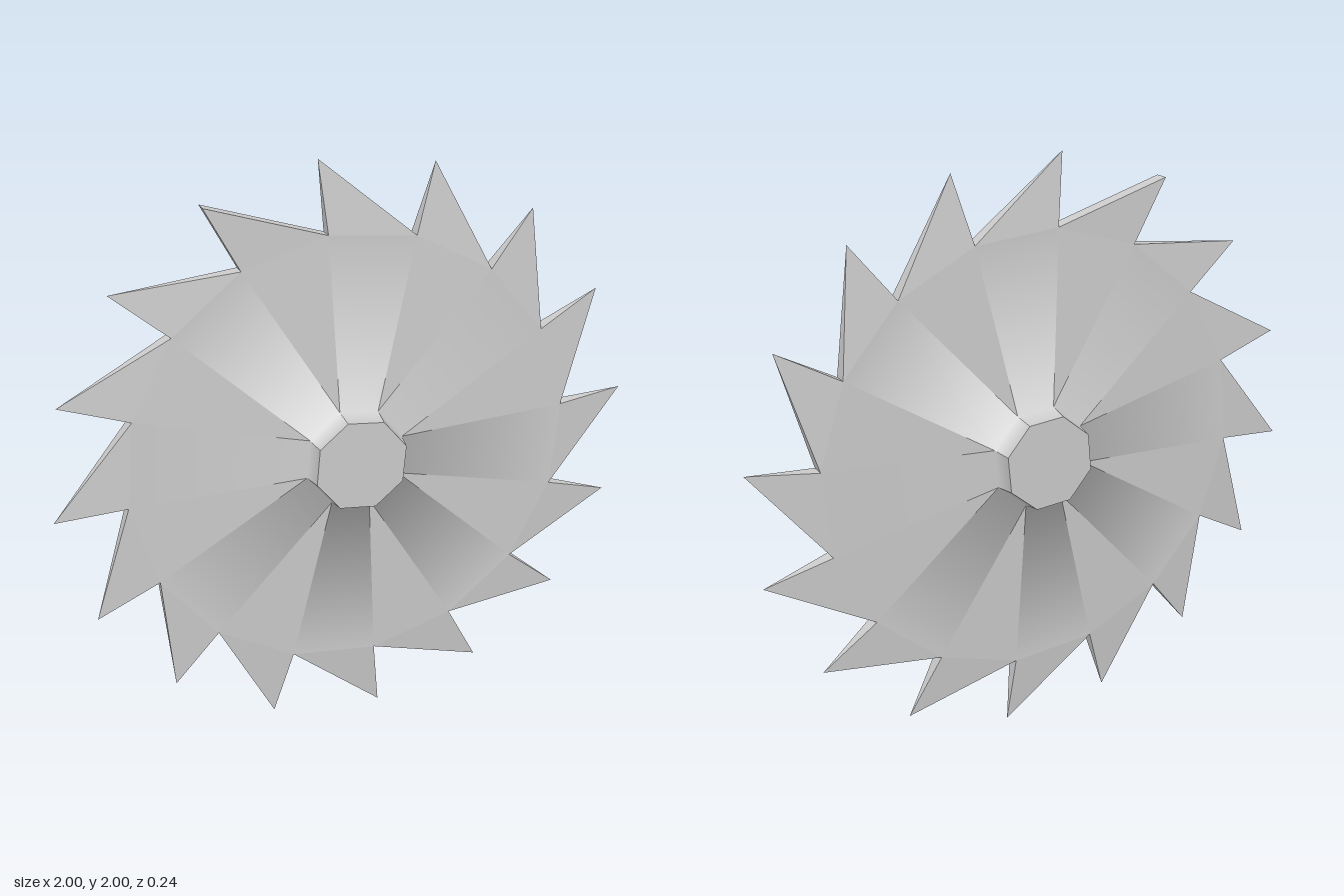
import * as THREE from 'three';

const TEETH = 16, STEP = 22.5, START = 6;
const R_TIP = 1.0055, R_VALLEY = 0.766, R_BASE = 0.175, R_CAP = 0.163;
const Z_VALLEY = 0.025, Z_BASE = 0.047, Z_CAP = 0.12;

const rad = THREE.MathUtils.degToRad;
const P = (r, deg, z) => new THREE.Vector3(r * Math.cos(rad(deg)), r * Math.sin(rad(deg)), z);

// Collects triangles; each gets its flat normal unless normals are supplied
class Faces {
  constructor() { this.pos = []; this.nor = []; }
  tri(pts, normals) {
    const [a, b, c] = pts;
    const flat = b.clone().sub(a).cross(c.clone().sub(a));
    if (flat.length() < 1e-9) return;
    flat.normalize();
    pts.forEach((p, i) => {
      this.pos.push(p.x, p.y, p.z);
      this.nor.push(...(normals ? normals[i] : flat).toArray());
    });
  }
  // One polygon as a fan; flip reverses the winding for the back side
  poly(pts, normals, flip = false) {
    for (let i = 1; i < pts.length - 1; i++) {
      const ids = flip ? [0, i + 1, i] : [0, i, i + 1];
      this.tri(ids.map(j => pts[j]), normals && ids.map(j => normals[j]));
    }
  }
  mesh(name) {
    const g = new THREE.BufferGeometry();
    g.setAttribute('position', new THREE.Float32BufferAttribute(this.pos, 3));
    g.setAttribute('normal', new THREE.Float32BufferAttribute(this.nor, 3));
    const m = new THREE.Mesh(g, new THREE.MeshStandardMaterial({ color: 0xcccccc }));
    m.name = name;
    return m;
  }
}

export function createModel() {
  const hub = new Faces(), disc = new Faces(), teeth = new Faces();

  for (const s of [1, -1]) {
    const flip = s < 0;
    const face = new THREE.Vector3(0, 0, s);

    // Octagonal hub caps
    const cap = [];
    for (let i = 0; i < 8; i++) cap.push(P(R_CAP, 17.25 + 45 * i, s * Z_CAP));
    hub.poly(cap, null, flip);

    for (let i = 0; i < 8; i++) {
      const h0 = 17.25 + 45 * i, h1 = h0 + 45, mid = h0 + 22.5;
      const v0 = mid - STEP / 2, v1 = mid + STEP / 2;
      const side = P(1, mid, 0);
      const blend = side.clone().add(face).normalize();

      // Hub side, its shading flowing into the sector below it
      hub.poly(
        [P(R_BASE, h0, s * Z_BASE), P(R_BASE, h1, s * Z_BASE), P(R_CAP, h1, s * Z_CAP), P(R_CAP, h0, s * Z_CAP)],
        [blend, blend, side, side], flip);

      // Smoothly shaded sector widening from the hub side to the rim
      disc.poly(
        [P(R_BASE, h0, s * Z_BASE), P(R_VALLEY, v0, s * Z_VALLEY), P(R_VALLEY, v1, s * Z_VALLEY), P(R_BASE, h1, s * Z_BASE)],
        [blend, face, face, blend], flip);

      // Flat sector fanning out from each hub corner
      disc.poly(
        [P(R_BASE, h1, s * Z_BASE), P(R_VALLEY, v1, s * Z_VALLEY), P(R_VALLEY, v1 + STEP, s * Z_VALLEY)],
        null, flip);
    }
  }

  // Raked teeth: one radial edge and one slanted edge; a single tooth is blunt
  for (let k = 0; k < TEETH; k++) {
    const a = START + STEP * k, b = a - STEP;
    const zt = k === 5 ? 0.025 : 0;
    const tip = s => P(R_TIP, a, s * zt);
    const va = s => P(R_VALLEY, a, s * Z_VALLEY);
    const vb = s => P(R_VALLEY, b, s * Z_VALLEY);
    for (const s of [1, -1]) teeth.poly([vb(s), tip(s), va(s)], null, s < 0);
    teeth.poly([va(1), tip(1), tip(-1), va(-1)]);
    teeth.poly([vb(1), vb(-1), tip(-1), tip(1)]);
  }

  const wheel = new THREE.Group();
  wheel.name = 'toothedWheel';
  wheel.add(hub.mesh('hub'), disc.mesh('disc'), teeth.mesh('teeth'));
  wheel.position.y = 1;

  const group = new THREE.Group();
  group.name = 'sawBlade';
  group.add(wheel);
  return group;
}
